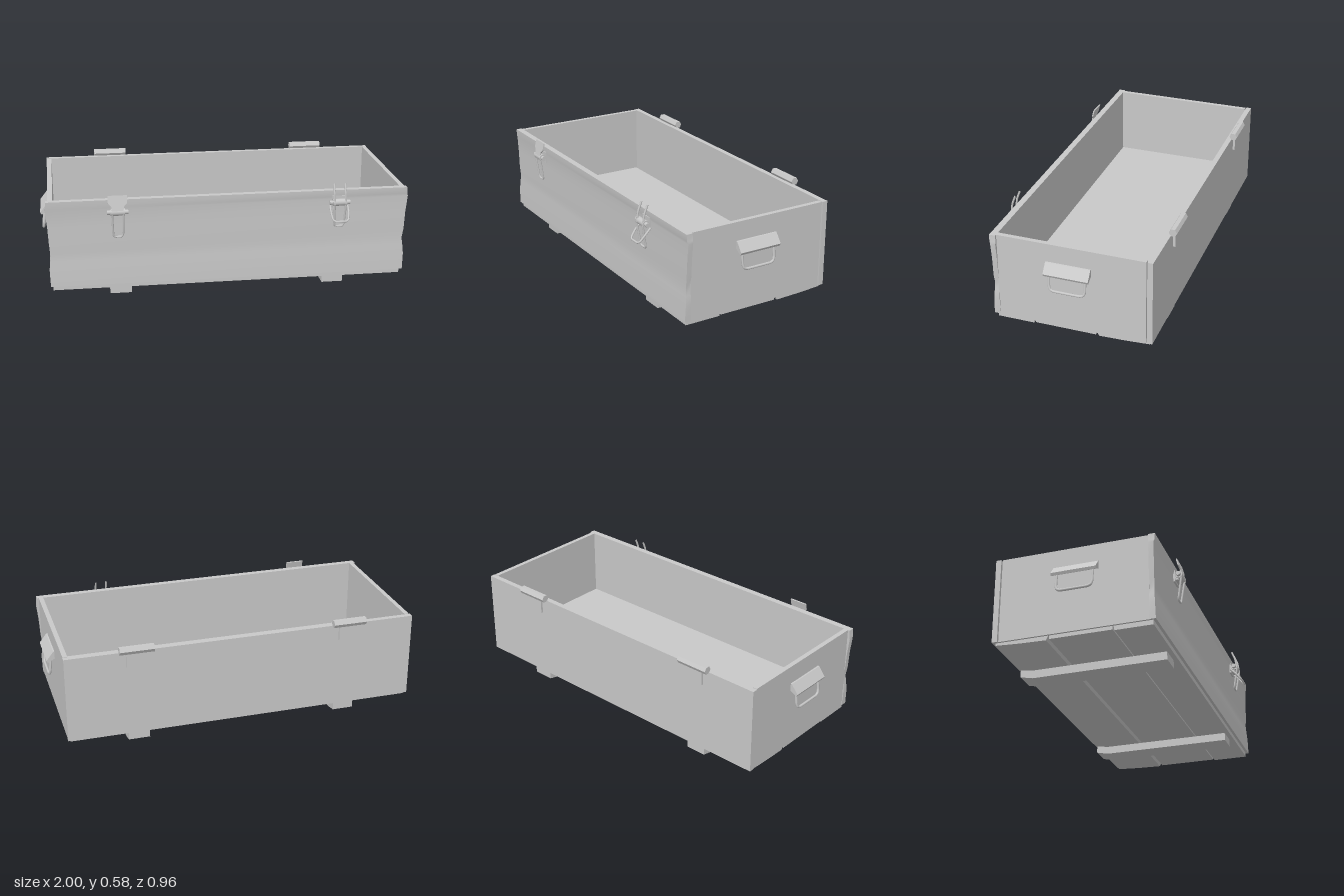
import * as THREE from 'three';

const steel = new THREE.MeshStandardMaterial({ color: 0xc8c8c8 });
steel.name = 'plain grey';

export function createModel() {
  const root = new THREE.Group();
  root.name = 'openCrate';

  const add = (name, geometry, parent = root) => {
    const mesh = new THREE.Mesh(geometry, steel);
    mesh.name = name;
    parent.add(mesh);
    return mesh;
  };
  // Box from its minimum and maximum corners
  const block = (name, [x0, y0, z0], [x1, y1, z1], parent) => {
    const g = new THREE.BoxGeometry(x1 - x0, y1 - y0, z1 - z0);
    g.translate((x0 + x1) / 2, (y0 + y1) / 2, (z0 + z1) / 2);
    return add(name, g, parent);
  };
  // Outline in (z, y), extruded from x0 to x1
  const extrudeX = (name, points, x0, x1, parent) => {
    const shape = new THREE.Shape(points.map(([z, y]) => new THREE.Vector2(z, y)));
    const g = new THREE.ExtrudeGeometry(shape, { depth: x1 - x0, bevelEnabled: false });
    g.rotateY(-Math.PI / 2).translate(x1, 0, 0);
    return add(name, g, parent);
  };
  // Bent wire through points, with tight rounded corners
  const wire = (name, points, radius, parent) => {
    const v = points.map((p) => new THREE.Vector3(...p));
    const path = new THREE.CatmullRomCurve3(v, false, 'catmullrom', 0.15);
    return add(name, new THREE.TubeGeometry(path, 48, radius, 8), parent);
  };

  // Walls
  for (const s of [-1, 1]) {
    const c = 0.9425 * s;
    block('sideWall', [c - 0.0125, 0.07, -0.417], [c + 0.0125, 0.54, 0.375]);
  }
  block('backWall', [-0.96, 0.07, -0.451], [0.957, 0.54, -0.422]);

  // Raised inner floor
  block('innerFloor', [-0.931, 0.13, -0.413], [0.931, 0.155, 0.374]);

  // Front wall, slightly dented: [height, half length, front z]
  const dents = [
    [0.07, 0.957, 0.407], [0.16, 0.96, 0.404], [0.21, 0.955, 0.4], [0.25, 0.949, 0.398],
    [0.3, 0.957, 0.4], [0.4, 0.962, 0.4], [0.49, 0.971, 0.401], [0.505, 0.967, 0.406], [0.54, 0.965, 0.407],
  ];
  const front = new THREE.BoxGeometry(2, 1, 1, 1, dents.length - 1, 1);
  const p = front.attributes.position;
  for (let i = 0; i < p.count; i++) {
    const [y, x, z] = dents[Math.round((p.getY(i) + 0.5) * (dents.length - 1))];
    p.setXYZ(i, p.getX(i) * x, y, p.getZ(i) > 0 ? z : 0.373);
  }
  front.computeVertexNormals();
  add('frontWall', front);

  // Bottom planks
  const planks = [
    [[0.392, 0.07], [0.392, 0.045], [0.193, 0.045], [0.188, 0.07]],
    [[0.184, 0.07], [0.184, 0.05], [-0.147, 0.05], [-0.147, 0.07]],
    [[-0.152, 0.07], [-0.164, 0.046], [-0.31, 0.05], [-0.435, 0.057], [-0.435, 0.07]],
  ];
  planks.forEach((o) => extrudeX('bottomPlank', o, -0.945, 0.943));

  // Skids with an upturned rear end
  const skid = [[0.367, 0], [0.367, 0.044], [-0.36, 0.044], [-0.43, 0.055], [-0.43, 0.015], [-0.362, 0]];
  extrudeX('skid', skid, -0.642, -0.528);
  extrudeX('skid', skid, 0.516, 0.632);

  // Hinges with six-sided barrels
  for (const x of [-0.588, 0.58]) {
    const hinge = new THREE.Group();
    hinge.name = 'hinge';
    hinge.position.x = x;
    root.add(hinge);
    const barrel = new THREE.CylinderGeometry(0.022, 0.022, 0.184, 6).toNonIndexed();
    barrel.computeVertexNormals();
    barrel.rotateZ(Math.PI / 2).translate(0, 0.554, -0.46);
    add('hingeBarrel', barrel, hinge);
    block('hingeLeaf', [-0.056, 0.455, -0.463], [0.056, 0.545, -0.45], hinge);
  }

  // Side handles: sloped cover over a hanging loop
  for (const s of [-1, 1]) {
    const handle = new THREE.Group();
    handle.name = 'handle';
    handle.position.z = -0.01;
    handle.rotation.y = s > 0 ? 0 : Math.PI;
    root.add(handle);
    const cover = new THREE.Shape([
      [0.952, 0.44], [0.962, 0.438], [1.0, 0.389], [0.993, 0.376], [0.952, 0.4],
    ].map(([x, y]) => new THREE.Vector2(x, y)));
    const g = new THREE.ExtrudeGeometry(cover, { depth: 0.24, bevelEnabled: false });
    add('handleCover', g.translate(0, 0, -0.12), handle);
    wire('handleLoop', [
      [0.972, 0.395, -0.096], [0.98, 0.32, -0.096], [0.983, 0.3, -0.09], [0.985, 0.291, -0.07],
      [0.985, 0.291, 0.07], [0.983, 0.3, 0.09], [0.98, 0.32, 0.096], [0.972, 0.395, 0.096],
    ], 0.007, handle);
  }

  // Latch body shared by both fasteners
  const latch = (x) => {
    const group = new THREE.Group();
    group.name = 'latch';
    group.position.x = x;
    root.add(group);
    block('latchPlate', [-0.035, 0.445, 0.4], [0.035, 0.51, 0.41], group);
    block('latchBracket', [-0.03, 0.455, 0.41], [0.03, 0.475, 0.43], group);
    const pin = new THREE.CylinderGeometry(0.019, 0.019, 0.075, 16);
    add('latchPin', pin.rotateZ(Math.PI / 2).translate(0, 0.48, 0.431), group);
    for (const s of [-1, 1]) {
      const knob = new THREE.CylinderGeometry(0.012, 0.012, 0.02, 12);
      add('latchKnob', knob.rotateZ(Math.PI / 2).translate(s * 0.045, 0.48, 0.431), group);
    }
    return group;
  };

  // Closed latch: flared tongue above, loop hanging down
  const closed = latch(-0.595);
  const tongue = new THREE.Shape([
    [-0.03, 0], [0.03, 0], [0.032, 0.03], [0.05, 0.05], [0.05, 0.09], [-0.05, 0.09],
    [-0.05, 0.05], [-0.032, 0.03],
  ].map(([x, y]) => new THREE.Vector2(x, y)));
  const tg = new THREE.ExtrudeGeometry(tongue, { depth: 0.007, bevelEnabled: false });
  add('latchTongue', tg.rotateX(-0.25).translate(0, 0.48, 0.442), closed);
  wire('latchLoop', [
    [-0.03, 0.48, 0.444], [-0.026, 0.36, 0.426], [-0.018, 0.342, 0.423],
    [0.018, 0.342, 0.423], [0.026, 0.36, 0.426], [0.03, 0.48, 0.444],
  ], 0.0055, closed);

  // Open latch: two upright prongs, one loop hanging and one swung out
  const open = latch(0.588);
  for (const s of [-1, 1]) {
    wire('latchProng', [[s * 0.03, 0.58, 0.418], [s * 0.03, 0.53, 0.437], [s * 0.03, 0.47, 0.446]], 0.0055, open);
  }
  wire('latchLoop', [
    [-0.03, 0.47, 0.446], [-0.026, 0.36, 0.427], [-0.018, 0.345, 0.424],
    [0.018, 0.345, 0.424], [0.026, 0.36, 0.427], [0.03, 0.47, 0.446],
  ], 0.0055, open);
  wire('swungLoop', [
    [-0.048, 0.46, 0.41], [-0.048, 0.425, 0.444], [-0.042, 0.395, 0.468], [-0.028, 0.386, 0.476],
    [0.028, 0.386, 0.476], [0.042, 0.395, 0.468], [0.048, 0.425, 0.444], [0.048, 0.46, 0.41],
  ], 0.0055, open);

  return root;
}
